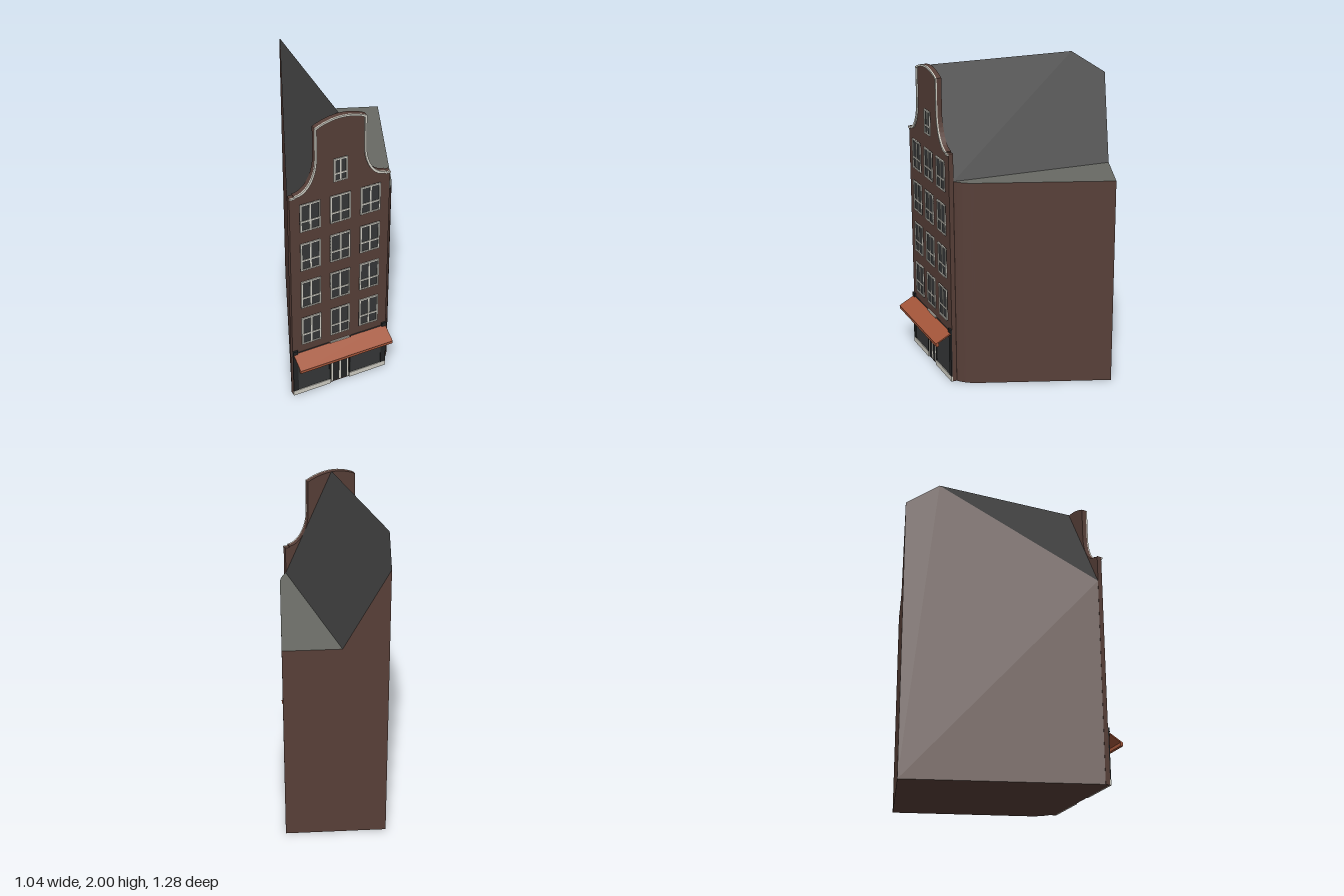
import * as THREE from 'three';

const mat = (name, color, side = THREE.FrontSide) => {
  const m = new THREE.MeshStandardMaterial({ color, side });
  m.name = name;
  return m;
};

export function createModel() {
  const brick = mat('brown brick', 0x573f38);
  const slate = mat('dark slate', 0x3c3c3c);
  const flat = mat('grey flat roof', 0x686a64);
  const trim = mat('off-white trim', 0xd0cec4);
  const glass = mat('dark glass', 0x353738);
  const black = mat('black timber', 0x232425);
  const orange = mat('orange canvas', 0xa4563a);

  const model = new THREE.Group();
  model.name = 'canalHouse';
  const add = (parent, name, geo, material) => {
    const m = new THREE.Mesh(geo, material);
    m.name = name;
    parent.add(m);
    return m;
  };

  // Flat polygon, fanned from its first corner
  const face = (name, pts, material) => {
    const tris = [];
    for (let i = 1; i < pts.length - 1; i++) tris.push(pts[0], pts[i], pts[i + 1]);
    const g = new THREE.BufferGeometry().setFromPoints(tris);
    g.computeVertexNormals();
    return add(model, name, g, material);
  };
  const V = (x, y, z) => new THREE.Vector3(x, y, z);

  // Footprint corners and roof points
  const EAVE = 1.35;
  const at = (p, y) => V(p[0], y, p[1]);
  const A = [-0.52, 0.503], B = [0.135, 0.48], D = [0.515, -0.43], E = [-0.085, -0.64];
  const eaveBack = V(0.178, EAVE, -0.548);
  const ridgeFront = V(-0.1925, 2, 0.49), ridgeBack = V(-0.161, 2, -0.44);
  const backPeak = at(E, 1.863);
  const bend = new THREE.QuadraticBezierCurve(new THREE.Vector2(...B),
    new THREE.Vector2(0.192, 0.437), new THREE.Vector2(0.217, 0.37));
  const side = [...bend.getPoints(10).map(p => [p.x, p.y]), D];

  // Walls
  face('leftWall', [at(E, 0), at(A, 0), at(A, EAVE), ridgeBack, backPeak], brick);
  face('backWall', [eaveBack, at(D, EAVE), at(D, 0), at(E, 0), backPeak], brick);
  face('frontWall', [at(A, 0), at(B, 0), at(B, EAVE), ridgeFront, at(A, EAVE)], brick);
  face('floor', [at(E, 0), ...side.slice().reverse().map(p => at(p, 0)), at(A, 0)], brick);

  // Right wall with its rounded front corner
  const strip = new THREE.BufferGeometry().setFromPoints(side.flatMap(p => [at(p, 0), at(p, EAVE)]));
  const index = [];
  for (let i = 0; i < side.length - 1; i++) {
    const a = i * 2;
    index.push(a, a + 2, a + 3, a, a + 3, a + 1);
  }
  strip.setIndex(index);
  strip.computeVertexNormals();
  add(model, 'roundedSideWall', strip, brick);

  // Roof
  face('roofLeftSlope', [at(A, EAVE), ridgeFront, ridgeBack], slate);
  face('roofRightSlope', [at(B, EAVE), eaveBack, backPeak, ridgeBack, ridgeFront], slate);
  face('flatRoof', [eaveBack, ...side.map(p => at(p, EAVE))], flat);

  // Facade, turned slightly; local z = 0 is its front
  const facade = new THREE.Group();
  facade.name = 'facade';
  facade.position.set(-0.1925, 0, 0.52);
  facade.rotation.y = 0.036;
  model.add(facade);
  const W = 0.3275;
  const plate = (name, x0, x1, y0, y1, z, d, material, parent = facade) => {
    const m = add(parent, name, new THREE.BoxGeometry(x1 - x0, y1 - y0, d), material);
    m.position.set((x0 + x1) / 2, (y0 + y1) / 2, z + d / 2);
    return m;
  };

  // Neck gable outline: outer edge, and the same edge moved inwards by t
  const gableLine = t => {
    const half = [[W, 1.527 - t], [W - 0.03, 1.527 - t]];
    for (let i = 0; i <= 10; i++) {
      const a = (i / 10) * Math.PI / 2;
      half.push([0.165 - t + 0.135 * (1 - Math.sin(a)), 1.75 - (0.215 + t) * Math.cos(a)]);
    }
    half.push([0.165 - t, 1.955 - t * 0.7]);
    for (let i = 1; i <= 6; i++) {
      const x = 0.165 * (1 - i / 6) - t * (1 - i / 6);
      half.push([x, 1.996 - t - 0.041 * (x / 0.165) ** 2]);
    }
    const mirrored = half.slice(0, -1).reverse().map(([x, y]) => [-x, y]);
    return [...half, ...mirrored].map(([x, y]) => new THREE.Vector2(x, y));
  };
  const outer = gableLine(0);
  const slab = new THREE.Shape([new THREE.Vector2(-W, 0), new THREE.Vector2(W, 0), ...outer]);
  const slabGeo = new THREE.ExtrudeGeometry(slab, { depth: 0.03, bevelEnabled: false });
  add(facade, 'gableFront', slabGeo, brick).position.z = -0.03;
  const edge = new THREE.Shape([...outer, ...gableLine(0.012).reverse()]);
  const edgeGeo = new THREE.ExtrudeGeometry(edge, { depth: 0.009, bevelEnabled: false });
  add(facade, 'gableTrim', edgeGeo, trim);

  // Windows: pane, frame and glazing bars
  const makeWindow = (name, x, y0, w, h, transom) => {
    const g = new THREE.Group();
    g.name = name;
    g.position.set(x, y0, 0);
    facade.add(g);
    const t = 0.009, d = 0.008;
    plate('pane', -w / 2, w / 2, 0, h, 0, 0.003, glass, g);
    for (const s of [-1, 1]) {
      const c = s * (w - t) / 2;
      plate('frameSide', c - t / 2, c + t / 2, 0, h, 0, d, trim, g);
    }
    plate('frameBottom', -w / 2, w / 2, 0, t, 0, d, trim, g);
    plate('frameTop', -w / 2, w / 2, h - t, h, 0, d, trim, g);
    plate('mullion', -0.005, 0.005, 0, h, 0, d - 0.001, trim, g);
    plate('transom', -w / 2, w / 2, h * transom - 0.005, h * transom + 0.005, 0, d - 0.001, trim, g);
  };
  const rows = [[0.402, 0.21], [0.692, 0.203], [0.98, 0.2], [1.267, 0.195]];
  for (const [y, h] of rows) for (const x of [-0.197, 0, 0.199]) makeWindow('window', x, y, 0.132, h, 0.37);
  makeWindow('atticWindow', 0, 1.558, 0.09, 0.157, 0.35);

  // Shop front, mirrored about the door
  for (const s of [-1, 1]) {
    const pair = (name, a, b, y0, y1, d, m) =>
      plate(name, Math.min(s * a, s * b), Math.max(s * a, s * b), y0, y1, 0, d, m);
    pair('plinth', 0.066, W, 0, 0.035, 0.009, trim);
    pair('shopWindow', 0.075, 0.293, 0.035, 0.345, 0.004, glass);
    pair('cornerPilaster', 0.293, W, 0.035, 0.34, 0.008, black);
    pair('pilasterCap', 0.295, W, 0.338, 0.365, 0.012, black);
    pair('innerPilaster', 0.066, 0.076, 0.035, 0.34, 0.008, black);
    pair('doorLeaf', 0.006, 0.05, 0.01, 0.335, 0.004, black);
    pair('doorJamb', 0.05, 0.06, 0.01, 0.335, 0.007, trim);
  }
  plate('doorPost', -0.006, 0.006, 0.01, 0.335, 0, 0.007, trim);
  plate('doorLintel', -0.066, 0.066, 0.335, 0.348, 0, 0.008, trim);

  // Awning with a front rail
  const canvas = add(facade, 'awningCanvas', new THREE.BoxGeometry(0.645, 0.008, 0.12), orange);
  canvas.position.set(0, 0.31, 0.054);
  canvas.rotation.x = 0.48;
  plate('awningRail', -0.3225, 0.3225, 0.264, 0.285, 0.088, 0.018, orange);

  return model;
}
